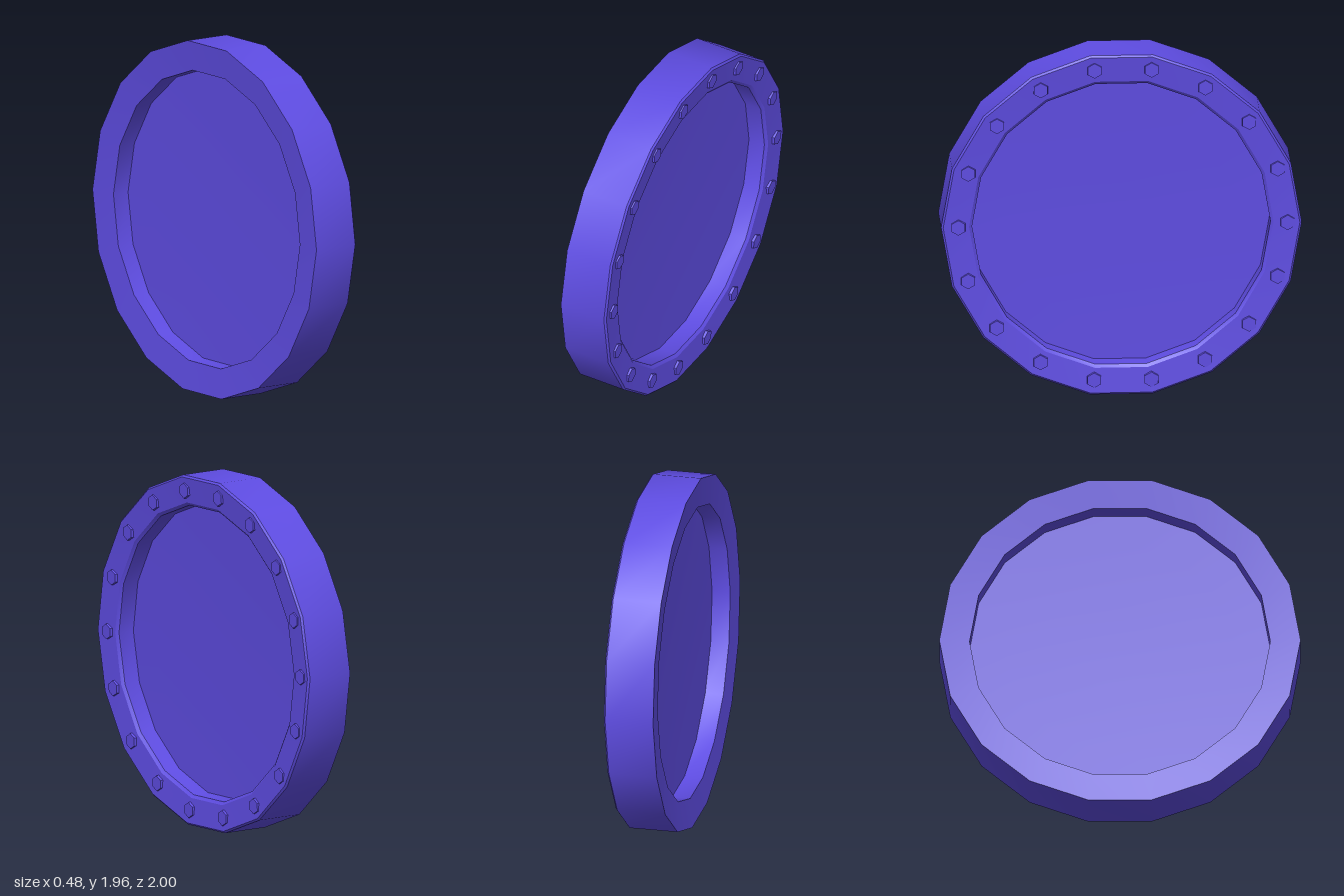
import * as THREE from 'three';
import { toCreasedNormals } from 'three/addons/utils/BufferGeometryUtils.js';

const SIDES = 18;
const material = new THREE.MeshStandardMaterial({ color: 0x5e4ce2 });

// Turns a geometry made around y so that its axis points along +x
function partAlongX(name, geometry) {
  geometry.rotateZ(-Math.PI / 2);
  const mesh = new THREE.Mesh(toCreasedNormals(geometry, 0.45), material);
  mesh.name = name;
  return mesh;
}

// Revolves [radius, axial position] points
function lathe(points) {
  return new THREE.LatheGeometry(points.map(([r, h]) => new THREE.Vector2(r, h)), SIDES);
}

export function createModel() {
  const model = new THREE.Group();
  model.name = 'porthole';

  // Ring frame: both faces slope in towards the opening, bolted face is bevelled
  model.add(partAlongX('frame', lathe([
    [0.825, -0.122], [0.991, -0.137], [0.991, 0.134], [0.98, 0.144],
    [0.837, 0.131], [0.82, 0.117], [0.82, 0], [0.825, -0.01], [0.825, -0.122],
  ])));

  // Thin pane midway in the frame, slightly dished on both sides
  const dish = [0, 0.25, 0.5, 0.75, 1].map((t) => [0.835 * t, 0.009 + 0.011 * t * t]);
  const back = dish.map(([r, h]) => [r, -h]);
  model.add(partAlongX('pane', lathe([...back, ...dish.reverse()])));

  // Hexagonal bolts, one at each corner of the frame
  const bolts = new THREE.Group();
  bolts.name = 'bolts';
  for (let i = 0; i < SIDES; i++) {
    const a = (i / SIDES) * Math.PI * 2;
    const head = new THREE.CylinderGeometry(0.043, 0.047, 0.03, 6).rotateY(Math.PI / 6);
    const bolt = partAlongX('bolt', head);
    bolt.position.set(0.134, 0.905 * Math.sin(a), 0.905 * Math.cos(a));
    bolts.add(bolt);
  }
  bolts.position.z = -0.008;
  model.add(bolts);

  // Slight turn and lean of the whole piece
  model.rotation.set(0, 0.102, -0.018);
  model.position.set(-0.005, 0.979, 0);

  const root = new THREE.Group();
  root.add(model);
  return root;
}
